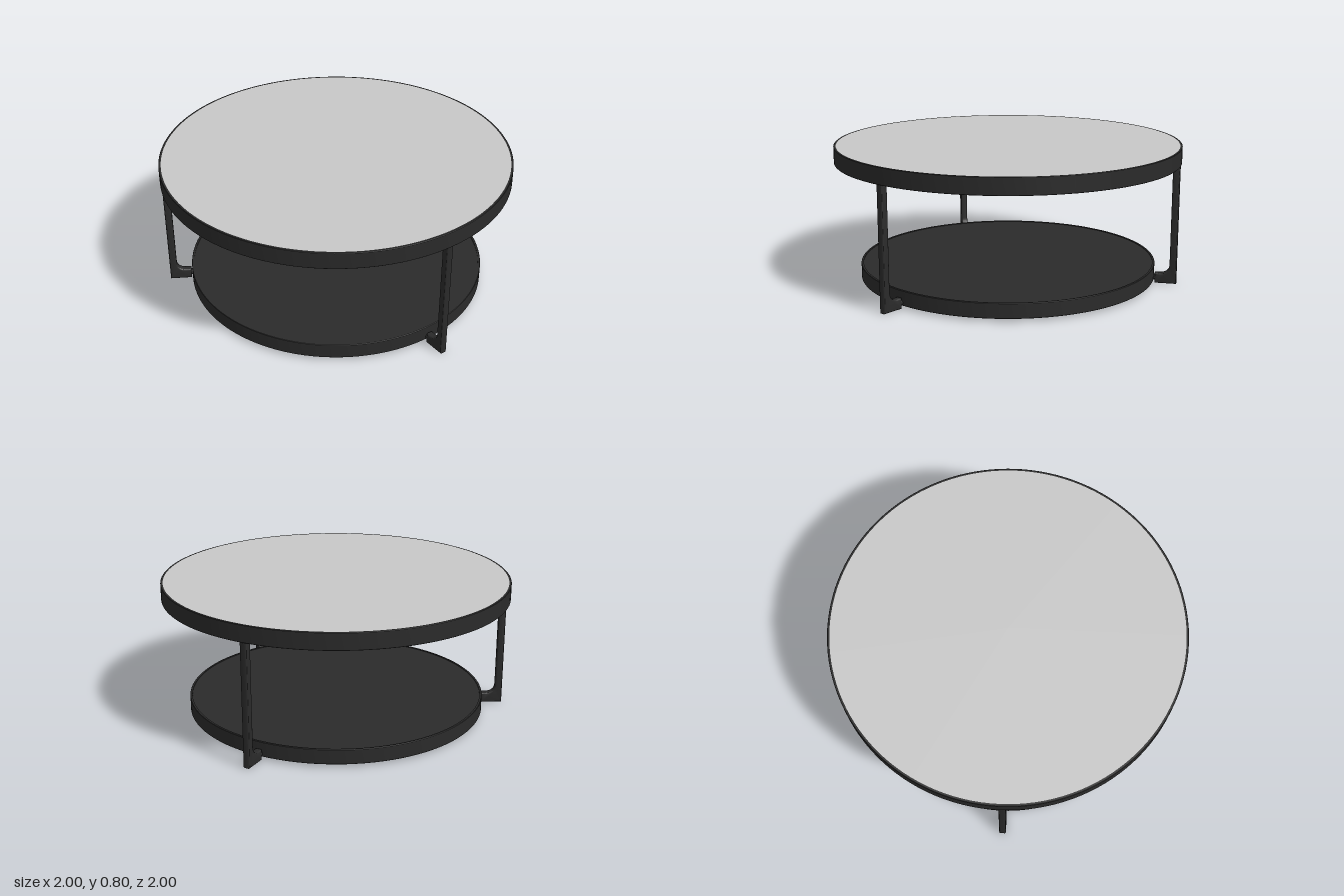
import * as THREE from 'three';
import { toCreasedNormals } from 'three/addons/utils/BufferGeometryUtils.js';

const blackMetal = new THREE.MeshStandardMaterial({ color: 0x2a2a2a });
const paleStone = new THREE.MeshStandardMaterial({ color: 0xc8c8c8 });
blackMetal.name = 'blackMetal';
paleStone.name = 'paleStone';

function mesh(name, geometry, material) {
  const m = new THREE.Mesh(geometry, material);
  m.name = name;
  return m;
}

// Revolved solid with crisp rims; profile runs from the bottom centre outwards and up
function turned(name, profile) {
  const points = profile.map(([r, y]) => new THREE.Vector2(r, y));
  return mesh(name, toCreasedNormals(new THREE.LatheGeometry(points, 128), 0.6), blackMetal);
}

// Upright with a filleted foot, drawn as radius against height and given thickness
function legGeometry() {
  const bevel = 0.007;
  const s = new THREE.Shape();
  s.moveTo(0.877, 0.007);
  s.lineTo(0.987, 0.007);
  s.lineTo(0.987, 0.72);
  s.lineTo(0.96, 0.72);
  s.lineTo(0.96, 0.11);
  s.quadraticCurveTo(0.957, 0.055, 0.9, 0.053);
  s.lineTo(0.877, 0.053);
  s.closePath();
  const g = new THREE.ExtrudeGeometry(s, {
    depth: 0.04 - 2 * bevel, bevelEnabled: true, bevelSize: bevel,
    bevelThickness: bevel, bevelSegments: 3, curveSegments: 12,
  });
  g.translate(0, 0, -0.02 + bevel);
  g.rotateY(-Math.PI / 2); // radius now runs along +z
  return toCreasedNormals(g, 0.6);
}

export function createModel() {
  const table = new THREE.Group();
  table.name = 'roundTable';

  // Table top: metal tray with a pale inlay
  table.add(turned('topFrame', [
    [0, 0.712], [0.945, 0.712], [0.945, 0.7], [0.998, 0.7], [1, 0.702],
    [1, 0.793], [0.998, 0.795], [0.987, 0.795], [0.987, 0.788], [0, 0.788],
  ]));
  const inlay = mesh('topInlay', new THREE.CylinderGeometry(0.987, 0.987, 0.008, 128), paleStone);
  inlay.position.y = 0.791;
  table.add(inlay);

  // Lower shelf, hollow underneath
  table.add(turned('lowerShelf', [
    [0, 0.05], [0.845, 0.05], [0.845, 0.015], [0.861, 0.015], [0.863, 0.017],
    [0.863, 0.098], [0.861, 0.1], [0.85, 0.1], [0.85, 0.096], [0, 0.096],
  ]));

  // Three legs, each with a peg reaching under the shelf
  const upright = legGeometry();
  const pegShape = new THREE.CylinderGeometry(0.018, 0.018, 0.14, 20);
  pegShape.rotateX(Math.PI / 2);
  for (let i = 0; i < 3; i++) {
    const leg = new THREE.Group();
    leg.name = ['frontLeg', 'backLeftLeg', 'backRightLeg'][i];
    leg.add(mesh('upright', upright, blackMetal));
    const peg = mesh('shelfPeg', pegShape, blackMetal);
    peg.position.set(0, 0.032, 0.82);
    leg.add(peg);
    leg.rotation.y = (i * 2 * Math.PI) / 3;
    table.add(leg);
  }
  return table;
}
